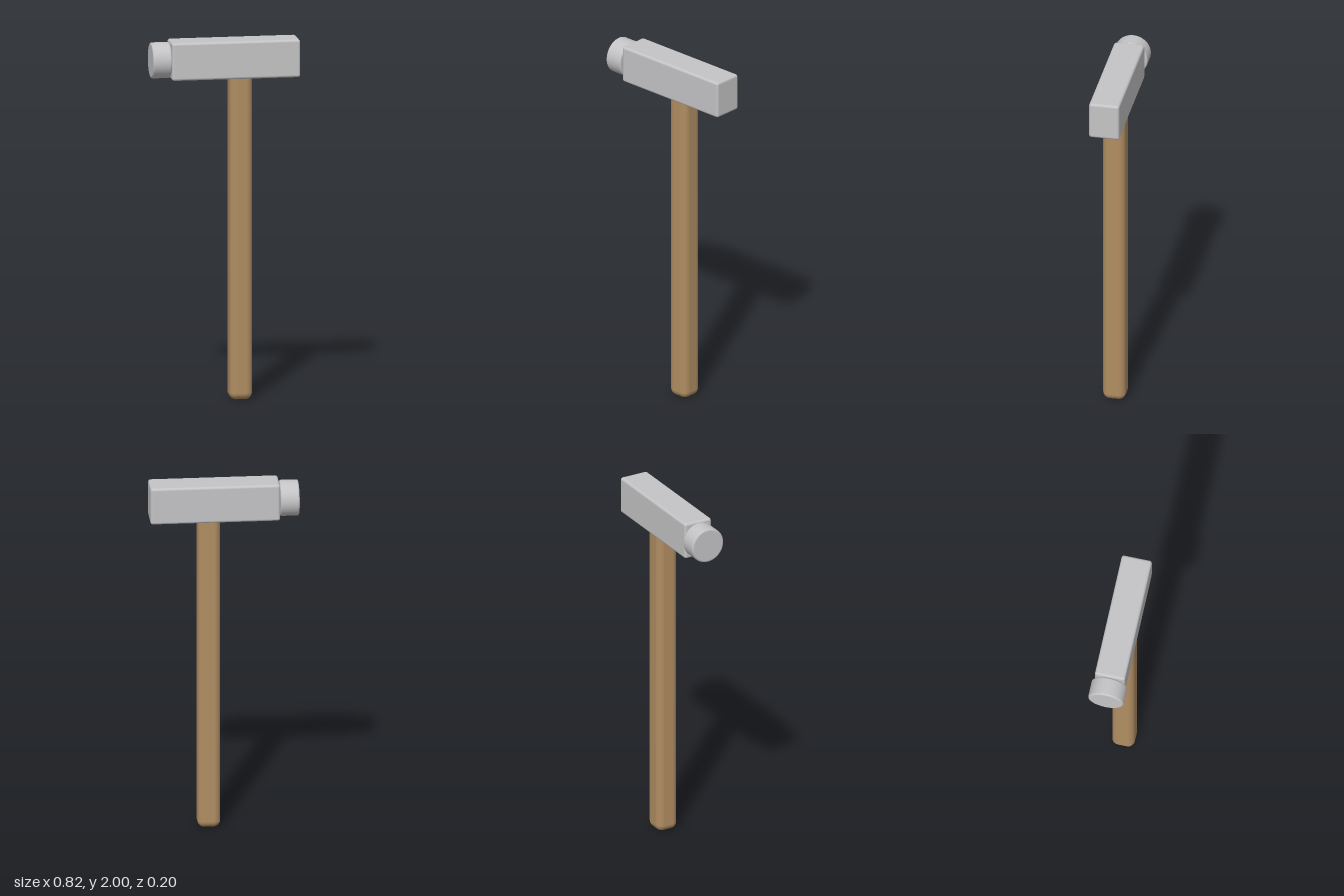
import * as THREE from 'three';
import { RoundedBoxGeometry } from 'three/addons/geometries/RoundedBoxGeometry.js';

export function createModel() {
  const steel = new THREE.MeshStandardMaterial({ color: 0xc4c4c6 });
  steel.name = 'steel';
  const wood = new THREE.MeshStandardMaterial({ color: 0xb08d62 });
  wood.name = 'wood';

  const group = new THREE.Group();
  group.name = 'hammer';
  const add = (name, geometry, material, x, y, z = 0) => {
    const mesh = new THREE.Mesh(geometry, material);
    mesh.name = name;
    mesh.position.set(x, y, z);
    group.add(mesh);
    return mesh;
  };

  // Wooden shaft with softened edges, its top sunk into the head
  add('handle', new RoundedBoxGeometry(0.126, 1.86, 0.126, 4, 0.038), wood, 0.085, 0.93);

  // Steel block
  add('head', new RoundedBoxGeometry(0.712, 0.21, 0.169, 3, 0.014), steel, 0.053, 1.895);

  // Round striking face: a disc with rounded rims, turned to point along -x
  const radius = 0.099, half = 0.0525, rim = 0.01;
  const profile = [new THREE.Vector2(0, -half), new THREE.Vector2(radius - rim - 0.001, -half)];
  for (const [side, start] of [[-1, -Math.PI / 2], [1, 0]]) {
    for (let i = 0; i <= 4; i++) {
      const a = start + (i / 4) * Math.PI / 2;
      profile.push(new THREE.Vector2(
        radius - rim + rim * Math.cos(a), side * (half - rim) + rim * Math.sin(a)));
    }
  }
  profile.push(new THREE.Vector2(radius - rim - 0.001, half), new THREE.Vector2(0, half));
  const face = add('strikingFace', new THREE.LatheGeometry(profile, 48), steel, -0.3575, 1.895);
  face.rotation.z = Math.PI / 2;

  return group;
}
